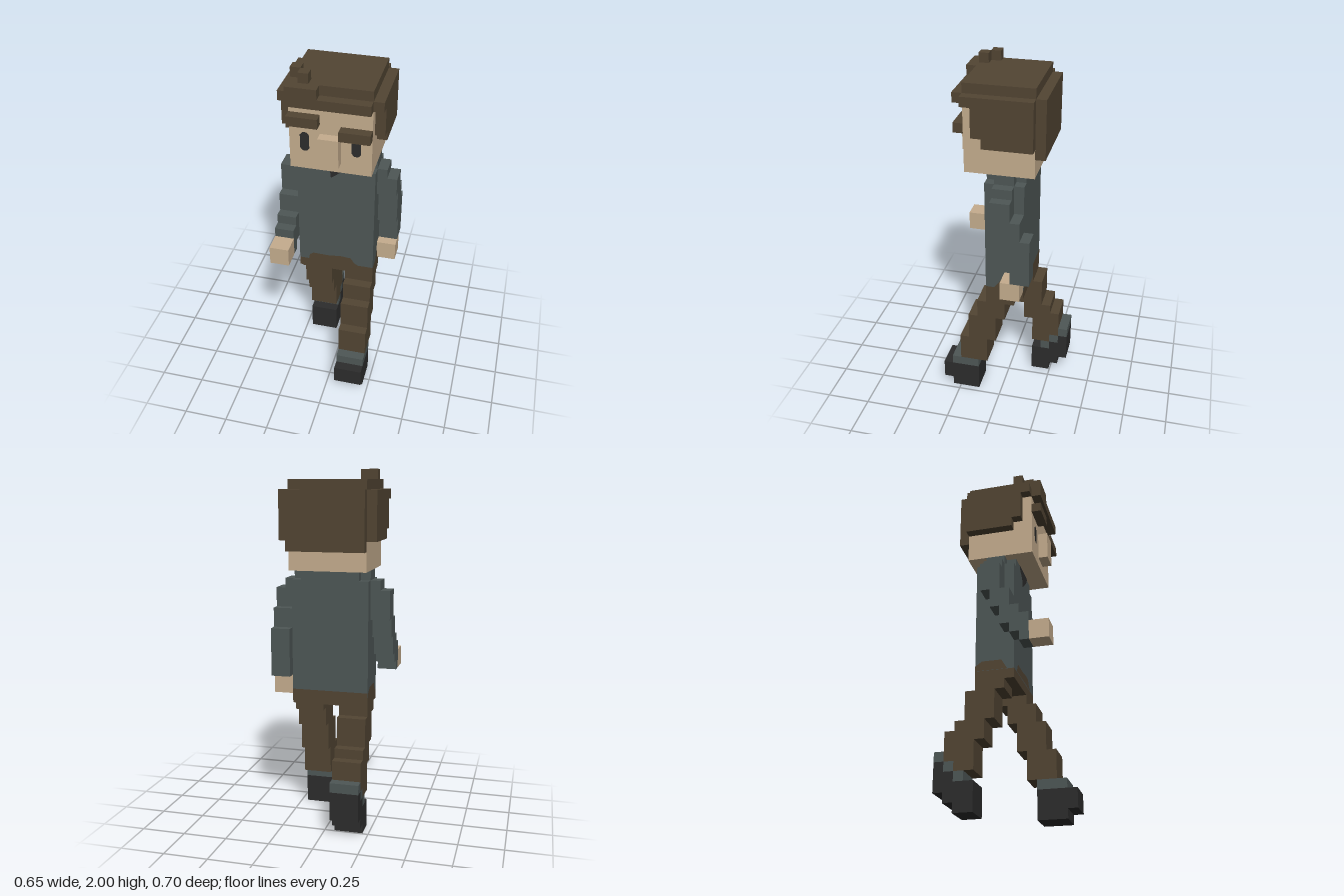
import * as THREE from 'three';

const U = 2 / 37; // one block

export function createModel() {
  const model = new THREE.Group();
  const material = (name, color) => {
    const m = new THREE.MeshStandardMaterial({ color });
    m.name = name;
    return m;
  };
  const skin = material('skin', 0xc5ad8e);
  const brown = material('brown', 0x524533);
  const shirt = material('shirt grey', 0x4e5756);
  const dark = material('charcoal', 0x2c2c2c);

  // Each block is [x0, x1, y0, y1, z0, z1] in block units
  const part = (name, mat, blocks) => {
    const group = new THREE.Group();
    group.name = name;
    for (const [x0, x1, y0, y1, z0, z1] of blocks) {
      const geo = new THREE.BoxGeometry((x1 - x0) * U, (y1 - y0) * U, (z1 - z0) * U);
      const mesh = new THREE.Mesh(geo, mat);
      mesh.name = name + 'Block';
      mesh.position.set((x0 + x1) / 2 * U, (y0 + y1) / 2 * U, (z0 + z1) / 2 * U);
      group.add(mesh);
    }
    model.add(group);
  };
  // A limb is a stack of [y0, y1, z0, z1] steps with a fixed width
  const limb = (name, mat, x0, x1, steps) => part(name, mat, steps.map(s => [x0, x1, ...s]));

  // Flat painted shape laid just above a face; turn is in quarter turns about y
  const paint = (name, mat, points, distance, turn = 0) => {
    const shape = new THREE.Shape(points.map(([x, y]) => new THREE.Vector2(x * U, y * U)));
    const geo = new THREE.ShapeGeometry(shape);
    geo.translate(0, 0, distance * U + 0.003);
    geo.rotateY(turn * Math.PI / 2);
    const mesh = new THREE.Mesh(geo, mat);
    mesh.name = name;
    model.add(mesh);
  };

  // Head and face
  part('head', skin, [[-4, 4, 27, 34, -3.5, 3.5]]);
  part('nose', skin, [[-1, 1, 28, 31, 3.5, 4.5]]);
  part('rightBrow', brown, [[-4, -1, 32, 33, 3.5, 4.5]]);
  part('leftBrow', brown, [[1, 4, 31, 32, 3.5, 4.5]]);
  for (const [name, x] of [['rightEye', -2.5], ['leftEye', 2.5]]) {
    paint(name, dark, [[-0.2, 29], [0.2, 29], [0.45, 29.3], [0.45, 30.7], [0.2, 31],
      [-0.2, 31], [-0.45, 30.7], [-0.45, 29.3]].map(([a, b]) => [x + a, b]), 3.5);
  }

  // Hair
  part('hairTop', brown, [[-4, 4, 34, 36, -3.5, 3.5]]);
  part('fringe', brown, [[-4, 4, 34, 35, 3.5, 4.5], [-4, -1, 35, 36, 3.5, 4.5]]);
  part('tuft', brown, [[-4, -3, 36, 37, 1.5, 2.5], [-3, -2, 36, 37, 2.5, 3.5]]);
  part('hairBack', brown, [[-4, 4, 29, 35, -4.5, -3.5]]);
  for (const [name, x] of [['rightSideHair', -5], ['leftSideHair', 4]]) {
    limb(name, brown, x, x + 1, [[34, 35, -3.5, 3.5], [31, 34, -3.5, 2.5], [30, 31, -3.5, 1.5]]);
  }

  // Torso with stepped shoulders
  part('torso', shirt, [[-4, 4, 14, 26, -2.5, 1.5], [-3, 3, 26, 27, -2.5, 1.5]]);
  for (const [name, s] of [['rightShoulder', -1], ['leftShoulder', 1]]) {
    const span = (a, b) => (s > 0 ? [a, b] : [-b, -a]);
    part(name, shirt, [[...span(3, 4), 26, 27, -1.5, 0.5], [...span(4, 5), 25, 26, -1.5, 0.5]]);
  }
  paint('neckline', dark, [[-1.7, 27], [-1.4, 26.4], [-0.6, 25.9], [-0.5, 24.9],
    [0.3, 25.5], [1.3, 26.4], [1.6, 27]], 1.5);

  // Waistband showing below the shirt hem
  paint('waistFront', brown, [[-3, 14], [2.5, 14], [2, 14.3], [1.6, 14.9], [0.5, 15],
    [-0.8, 14.85], [-2.5, 14.9], [-2.9, 14.6]], 1.5);
  paint('waistLeft', brown, [[-0.6, 14], [2.5, 14], [2.5, 15], [0.1, 15]], 4, 1);
  paint('waistBack', brown, [[-4, 14], [4, 14], [4, 14.5], [-4, 14.5]], 2.5, 2);
  paint('waistRight', brown, [[-2.5, 14], [0.8, 14], [0.2, 15], [-1.8, 15], [-2.5, 14.5]], 4, -1);

  // Left arm swings back, right arm swings forward
  limb('leftArm', shirt, 4, 6, [[23, 25, -1.5, 0.5], [21, 23, -2.5, -0.5],
    [19, 21, -3.5, -0.5], [16, 19, -3.5, -1.5]]);
  limb('leftHand', skin, 4, 6, [[14, 16, -2.5, -0.5]]);
  limb('rightArm', shirt, -6, -4, [[22, 25, -1.5, 0.5], [20, 22, -0.5, 1.5],
    [18, 20, 0.5, 2.5], [17, 18, 1.5, 3.5], [18, 19, 2.5, 3.5], [16, 17, 2.5, 3.5]]);
  limb('rightHand', skin, -6, -4, [[16, 18, 3.5, 5.5]]);

  // Hips and striding legs
  part('hips', brown, [[-4, 4, 13, 14, -2.5, 1.5]]);
  limb('leftLeg', brown, 1, 4, [[12, 13, -1.5, 1.5], [10, 12, -0.5, 2.5],
    [7, 10, 0.5, 3.5], [4, 7, 1.5, 4.5]]);
  limb('leftSock', shirt, 1, 4, [[3, 4, 2.5, 5.5]]);
  limb('leftShoe', dark, 1, 4, [[0, 3, 2.5, 5.5], [1, 3, 5.5, 6.5]]);
  limb('rightLeg', brown, -4, -1, [[12, 13, -2.5, 0.5], [9, 12, -3.5, -0.5],
    [8, 9, -4.5, -1.5], [7, 8, -5.5, -1.5], [5, 7, -5.5, -2.5], [4, 5, -4.5, -2.5]]);
  limb('rightSock', shirt, -4, -1, [[3, 4, -4.5, -3.5], [4, 5, -5.5, -4.5], [5, 6, -6.5, -5.5]]);
  limb('rightShoe', dark, -4, -1, [[0, 3, -4.5, -2.5], [1, 4, -5.5, -4.5], [2, 5, -6.5, -5.5]]);

  return model;
}
